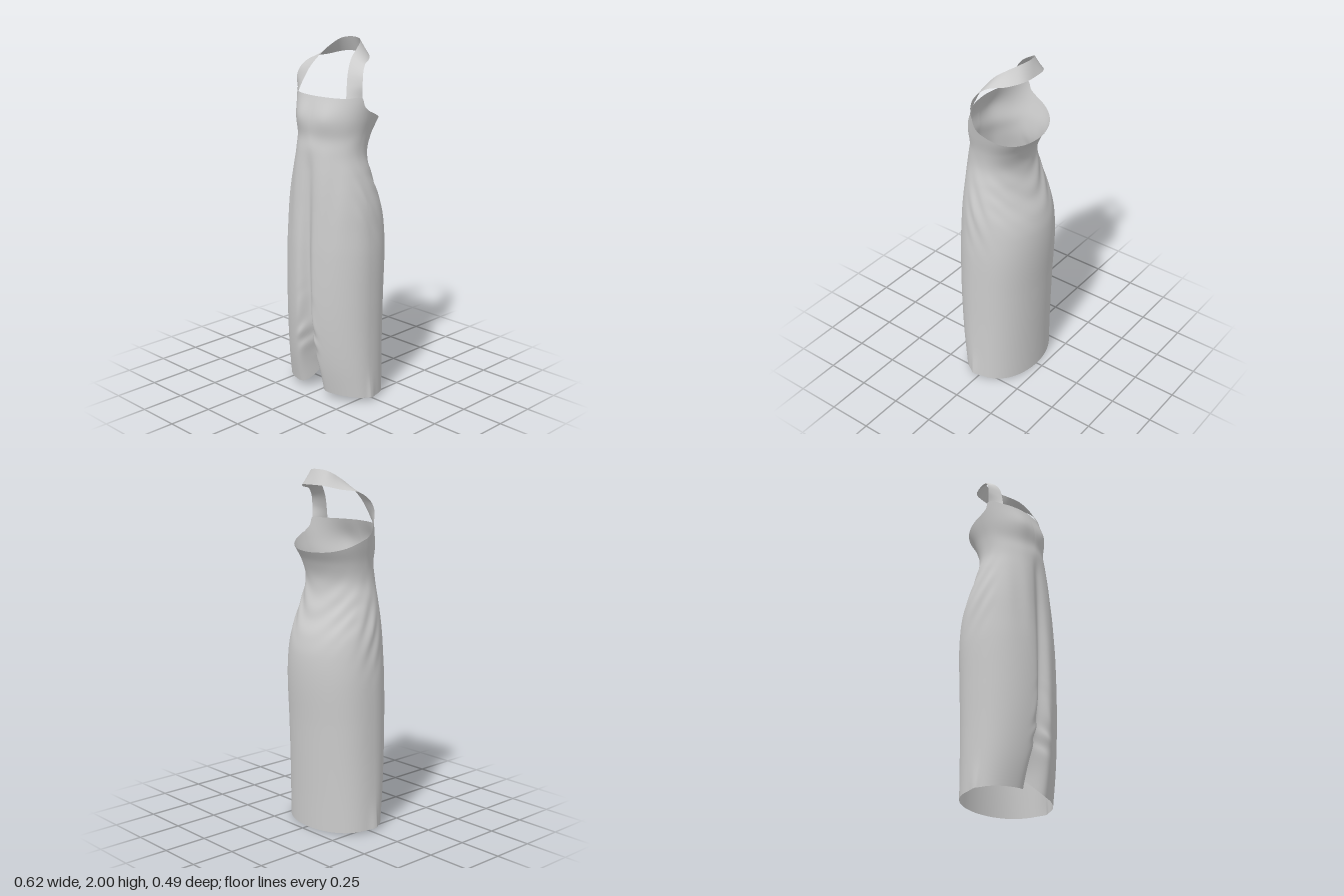
import * as THREE from 'three';

const fabric = new THREE.MeshStandardMaterial({ color: 0xcccccc, side: THREE.DoubleSide });

// Dress outline by height: [y, half width, front z, back z, side seam z]
const PROFILE = [
  [0.0, 0.3, 0.182, -0.21, 0.03], [0.2, 0.295, 0.222, -0.215, 0.03], [0.4, 0.291, 0.243, -0.222, 0.028],
  [0.6, 0.29, 0.25, -0.23, 0.025], [0.85, 0.288, 0.247, -0.243, 0.022], [1.0, 0.279, 0.24, -0.238, 0.022],
  [1.1, 0.27, 0.234, -0.216, 0.025], [1.2, 0.253, 0.228, -0.175, 0.03], [1.3, 0.231, 0.22, -0.138, 0.036],
  [1.4, 0.211, 0.209, -0.123, 0.038], [1.5, 0.217, 0.197, -0.155, 0.02], [1.6, 0.241, 0.187, -0.212, 0],
  [1.72, 0.27, 0.148, -0.212, -0.014],
];
// Neckline height by angle from the front centre
const NECK = [[0, 1.71], [0.75, 1.71], [1.16, 1.715], [1.32, 1.67], [1.52, 1.643], [1.8, 1.612], [2.14, 1.586], [2.6, 1.567], [3.15, 1.56]];
// Depth of the front gather by height
const GATHER = [[0, 0.16], [0.15, 0.16], [0.25, 0.115], [0.4, 0.07], [0.6, 0.052], [1.0, 0.035], [1.3, 0.018], [1.45, 0], [2, 0]];

// Smooth lookup in a table whose first column ascends
function lookup(table, t, col = 1) {
  const n = table.length - 1;
  let i = 0;
  while (i < n - 1 && t > table[i + 1][0]) i++;
  const slope = (k) => {
    const a = table[Math.max(k - 1, 0)], b = table[Math.min(k + 1, n)];
    return (b[col] - a[col]) / (b[0] - a[0]);
  };
  const p = table[i], q = table[i + 1], h = q[0] - p[0];
  const u = THREE.MathUtils.clamp((t - p[0]) / h, 0, 1), u2 = u * u, u3 = u2 * u;
  return (2 * u3 - 3 * u2 + 1) * p[col] + (u3 - 2 * u2 + u) * h * slope(i)
    + (3 * u2 - 2 * u3) * q[col] + (u3 - u2) * h * slope(i + 1);
}

const bell = (d, width) => Math.exp(-((d / width) ** 2));

// Point on the dress: angle a from the front centre, v from hem (0) to neckline (1)
function dressPoint(a, v) {
  const around = a > Math.PI ? 2 * Math.PI - a : a;
  // round in front, flatter behind
  const cos = Math.cos(a), sx = Math.sin(a), sz = cos > 0 ? cos : -(Math.abs(cos) ** 0.82);
  const front = THREE.MathUtils.smoothstep(sz, 0, 0.5), back = THREE.MathUtils.smoothstep(-sz, 0, 0.7);
  const hem = 0.02 + 0.018 * sz + 0.12 * front * bell(sx * 0.3, 0.05);
  const y = THREE.MathUtils.lerp(hem, lookup(NECK, around), v);
  const [w, zf, zb, seam] = [1, 2, 3, 4].map((col) => lookup(PROFILE, y, col));
  let x = w * sx, z = seam + (sz > 0 ? zf - seam : seam - zb) * sz;
  const ax = Math.abs(x);
  // front gather, widening to the hem, with slanting, uneven puckers beside it
  z -= front * lookup(GATHER, y) * bell(x, 0.036 + (x < 0 ? 0.024 : 0.012) * bell(y, 0.3));
  const pucker = (y + 1.4 * ax) * 46 + Math.sign(x) * 0.9 + 1.3 * Math.sin(y * 19);
  z += front * 0.007 * bell(y - 0.34, 0.18) * bell(ax - 0.04, 0.035) * Math.sin(pucker);
  // bust and the seam under it
  z += front * 0.014 * bell(ax - 0.1, 0.075) * bell(y - 1.6, 0.075);
  z -= front * 0.005 * bell(y - 1.48 - 1.5 * (ax - 0.1) ** 2, 0.045);
  // long soft folds in the front of the skirt
  z += front * 0.002 * bell(y - 1.15, 0.25) * Math.cos(x * 60);
  // swags hanging across the back
  z += back * 0.0035 * bell(y - 1.25, 0.13) * Math.sin((y - 5 * x * x) * 44);
  // creases running from the bust down over the hips, flared side seams at the hem
  x += sx * (1 - front) * (1 - back) * 0.004 * bell(y - 1.15, 0.17) * Math.sin((y - 1.8 * z) * 36);
  x += Math.sign(sx) * 0.012 * bell(around - Math.PI / 2, 0.1) * bell(y, 0.12);
  return new THREE.Vector3(x, y, z);
}

// Smooth sheet from a grid of points; closed sheets wrap along u
function sheet(name, cols, rows, closed, pointAt) {
  const positions = [], index = [], stride = closed ? cols : cols + 1;
  for (let j = 0; j <= rows; j++)
    for (let i = 0; i < stride; i++) positions.push(...pointAt(i / cols, j / rows).toArray());
  for (let j = 0; j < rows; j++)
    for (let i = 0; i < cols; i++) {
      const a = j * stride + i, b = j * stride + (i + 1) % stride;
      index.push(a, b, b + stride, a, b + stride, a + stride);
    }
  const geometry = new THREE.BufferGeometry();
  geometry.setAttribute('position', new THREE.Float32BufferAttribute(positions, 3));
  geometry.setIndex(index);
  geometry.computeVertexNormals();
  const mesh = new THREE.Mesh(geometry, fabric);
  mesh.name = name;
  return mesh;
}

// Strap edge on the left half, mirrored over the neck to the right
function strapEdge(start, points) {
  const half = [start, ...points.map((p) => new THREE.Vector3(...p))];
  const other = half.slice(0, -1).reverse().map((p) => new THREE.Vector3(-p.x, p.y, p.z));
  return new THREE.CatmullRomCurve3([...half, ...other], false, 'centripetal');
}

export function createModel() {
  const group = new THREE.Group();
  group.name = 'halterDress';

  group.add(sheet('dressBody', 240, 110, true, (u, v) => dressPoint(u * 2 * Math.PI, v)));

  // halter strap, from one side of the neckline round the neck to the other
  const inner = strapEdge(dressPoint(0.75, 1), [
    [0.166, 1.77, 0.087], [0.144, 1.84, 0.056], [0.116, 1.91, 0.0],
    [0.1, 1.955, -0.06], [0.07, 1.99, -0.115], [0, 2.0, -0.137]]);
  const outer = strapEdge(dressPoint(1.16, 1), [
    [0.25, 1.78, 0.054], [0.236, 1.835, 0.037], [0.203, 1.88, -0.012],
    [0.15, 1.897, -0.1], [0.085, 1.915, -0.16], [0, 1.918, -0.172]]);
  group.add(sheet('halterStrap', 96, 8, false, (u, v) => outer.getPoint(u).lerp(inner.getPoint(u), v)));

  return group;
}
